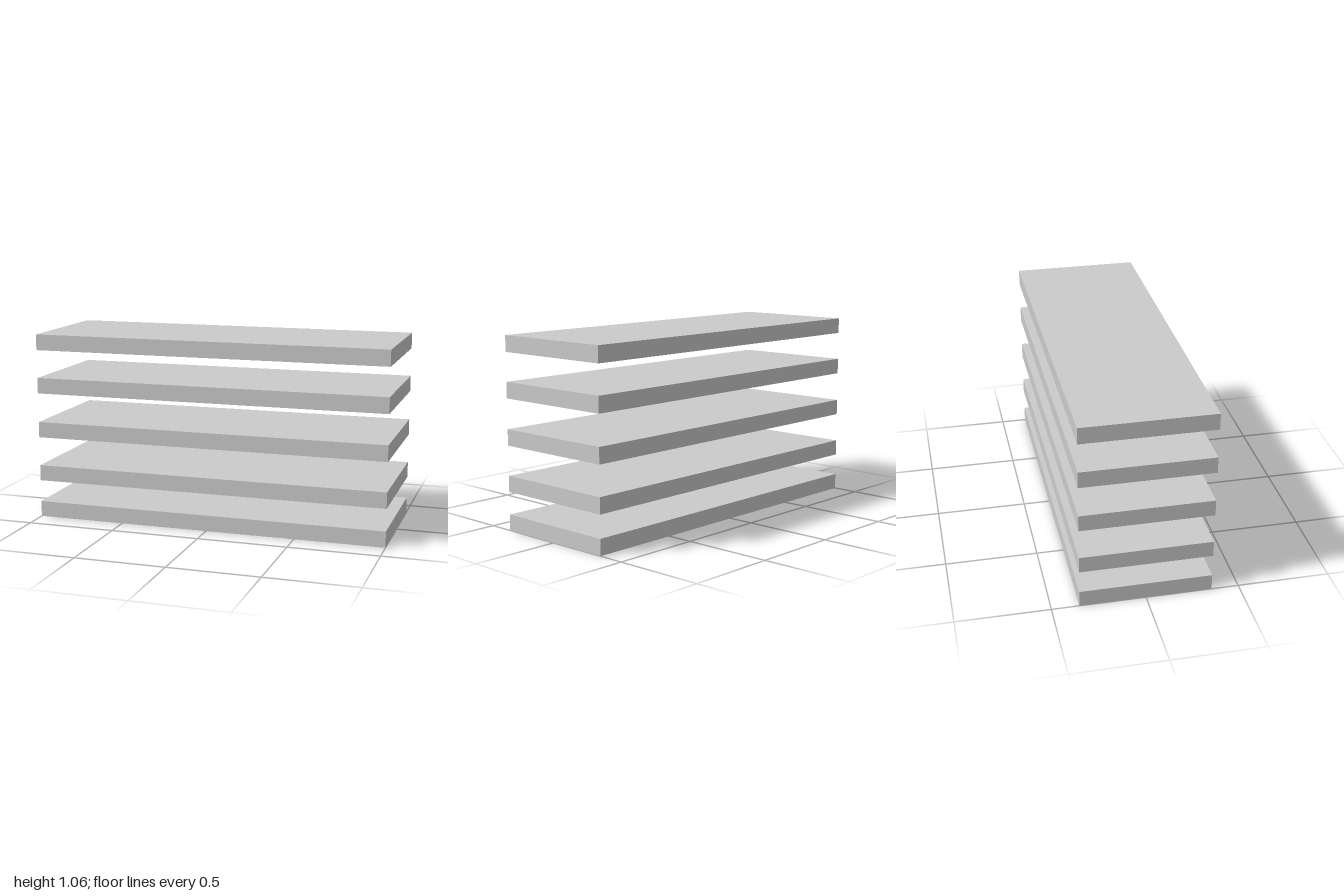
import * as THREE from 'three';

export function createModel() {
  const model = new THREE.Group();
  model.name = 'shelfBoards';

  const width = 2, thickness = 0.089, depth = 0.707;
  const material = new THREE.MeshStandardMaterial({ color: 0xcccccc });
  const board = new THREE.BoxGeometry(width, thickness, depth);

  // Five identical boards, the lowest gap narrower than the others
  const undersides = [0, 0.213, 0.466, 0.72, 0.967];
  undersides.forEach((y, i) => {
    const shelf = new THREE.Mesh(board, material);
    shelf.name = `shelf${i + 1}`;
    shelf.position.y = y + thickness / 2;
    model.add(shelf);
  });

  return model;
}
